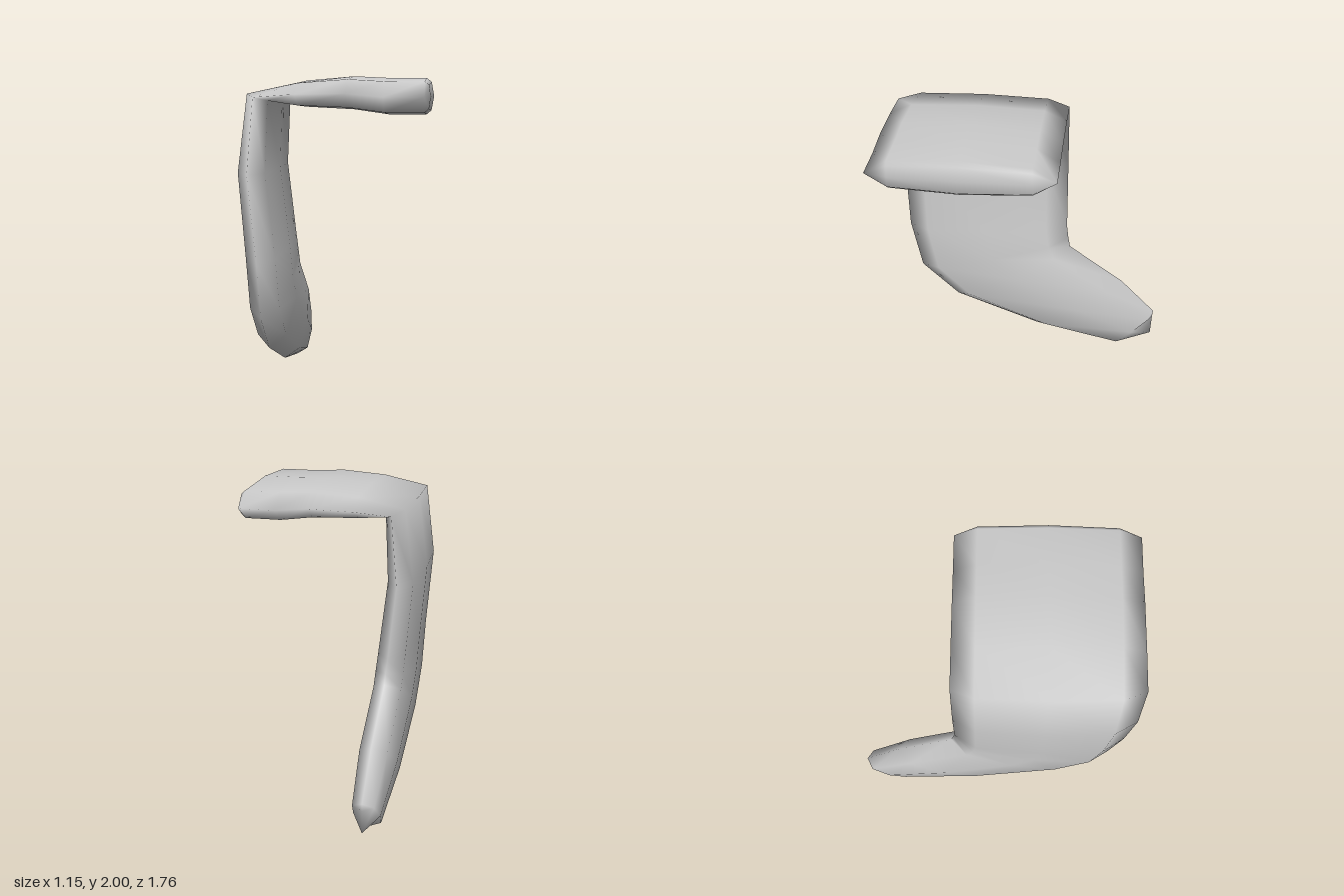
import * as THREE from 'three';
import { mergeVertices } from 'three/addons/utils/BufferGeometryUtils.js';

const INSET = 0.125; // where the thin rim meets the flat of the band

// One section: x of the middle, front edge [y, z], back edge [y, z],
// half thickness vector [x, y] to the outer side, optional cap bulge.
function ring({ x, front, back, half, push = [0, 0, 0], rim = 0 }) {
  const at = (f, side) => {
    const t = f === 0.5 ? 1 : 0.8;
    const w = f === 0.5 ? 1 : rim;
    return [
      x + half[0] * side * t + push[0] * w,
      THREE.MathUtils.lerp(front[0], back[0], f) + half[1] * side * t + push[1] * w,
      THREE.MathUtils.lerp(front[1], back[1], f) + push[2] * w,
    ];
  };
  const fs = [INSET, 0.5, 1 - INSET];
  return [
    [x, ...front],
    ...fs.map((f) => at(f, 1)),
    [x, ...back],
    ...fs.reverse().map((f) => at(f, -1)),
  ];
}

function loft(sections) {
  const rings = sections.map(ring);
  const n = rings[0].length;
  const index = [];
  for (let s = 0; s < rings.length - 1; s++) {
    for (let i = 0; i < n; i++) {
      const j = (i + 1) % n;
      const a = s * n + i, b = s * n + j;
      index.push(a, b, a + n, b, b + n, a + n);
    }
  }
  const geo = new THREE.BufferGeometry();
  geo.setAttribute('position', new THREE.Float32BufferAttribute(rings.flat(2), 3));
  geo.setIndex(index);
  const merged = mergeVertices(geo, 1e-4);
  // drop the collapsed triangles of the caps
  const kept = [];
  const id = merged.index.array;
  for (let k = 0; k < id.length; k += 3) {
    const [a, b, c] = [id[k], id[k + 1], id[k + 2]];
    if (a !== b && b !== c && a !== c) kept.push(a, b, c);
  }
  merged.setIndex(kept);
  merged.computeVertexNormals();
  return merged;
}

export function createModel() {
  const arm = (x, y, h) => ({ x, front: [y, 0.88], back: [y, -0.235], half: [0, h] });
  const leg = (x, front, back, h) => ({ x, front, back, half: [-h, 0] });
  const armEnd = arm(0.53, 1.88, 0.11);
  const footEnd = leg(-0.415, [0, -0.59], [0.29, -0.88], 0.085);

  const sections = [
    // rounded end of the arm
    { ...armEnd, half: [0, 0], push: [0.045, 0, 0], rim: 0.75 },
    { ...armEnd, half: [0, 0.085], push: [0.03, 0, 0], rim: 0.8 },
    // horizontal arm
    armEnd,
    arm(0.3, 1.88, 0.11),
    arm(0.09, 1.9, 0.1),
    arm(-0.2, 1.895, 0.08),
    // bend
    { x: -0.435, front: [1.878, 0.88], back: [1.878, -0.235], half: [-0.075, 0.025] },
    // upright leg
    leg(-0.475, [1.44, 0.88], [1.44, -0.235], 0.1),
    leg(-0.43, [0.92, 0.86], [0.97, -0.24], 0.11),
    // heel and foot sweeping to the back
    leg(-0.42, [0.58, 0.79], [0.88, -0.252], 0.112),
    leg(-0.417, [0.34, 0.54], [0.81, -0.265], 0.112),
    leg(-0.415, [0.12, -0.03], [0.54, -0.64], 0.11),
    footEnd,
    // pinched tip of the foot
    { ...footEnd, half: [0, 0], push: [0, -0.055, -0.135], rim: 0.24 },
  ];

  const band = new THREE.Mesh(loft(sections), new THREE.MeshStandardMaterial({ color: 0xcccccc }));
  band.name = 'bentBand';
  const group = new THREE.Group();
  group.name = 'bentPanel';
  group.add(band);
  return group;
}
